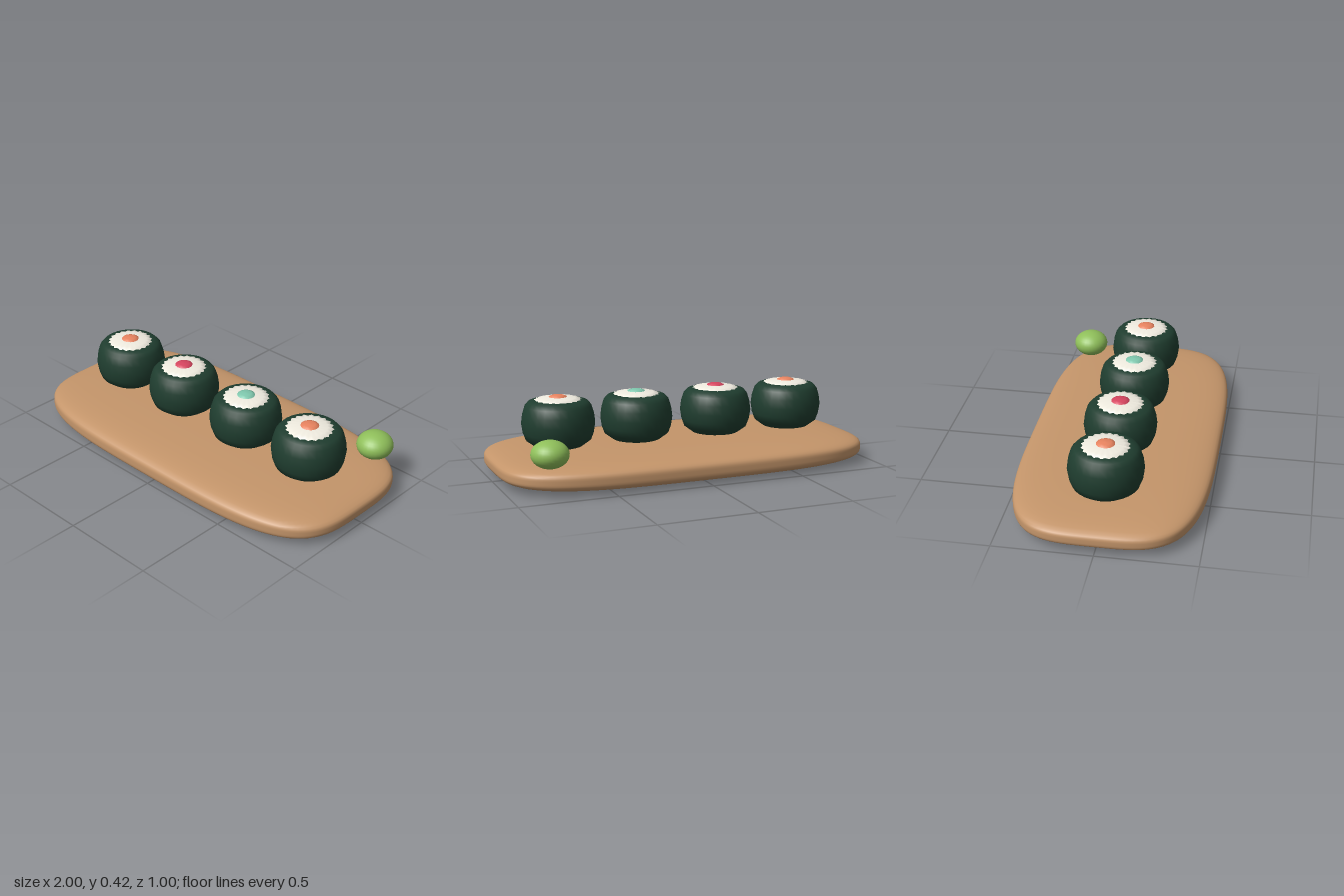
import * as THREE from 'three';

const mat = (color) => new THREE.MeshStandardMaterial({ color });

function addMesh(parent, name, geometry, color) {
  const mesh = new THREE.Mesh(geometry, mat(color));
  mesh.name = name;
  parent.add(mesh);
  return mesh;
}

// Rounded slab: every sphere vertex is pushed out along its ray onto a superellipsoid
function softSlab(rx, ry, rz, n) {
  const g = new THREE.BoxGeometry(2, 2, 2, 32, 16, 32);
  const p = g.attributes.position;
  const normal = g.attributes.normal;
  const v = new THREE.Vector3();
  const f = (c) => Math.sign(c) * Math.abs(c) ** (n - 1);
  for (let i = 0; i < p.count; i++) {
    v.fromBufferAttribute(p, i);
    const k = (Math.abs(v.x) ** n + Math.abs(v.y) ** n + Math.abs(v.z) ** n) ** (-1 / n);
    v.multiplyScalar(k);
    p.setXYZ(i, v.x * rx, v.y * ry, v.z * rz);
    v.set(f(v.x) / rx, f(v.y) / ry, f(v.z) / rz).normalize();
    normal.setXYZ(i, v.x, v.y, v.z);
  }
  return g;
}

const lathe = (points, segments) =>
  new THREE.LatheGeometry(points.map(([r, y]) => new THREE.Vector2(r, y)), segments);

// Rice cap with a scalloped rim
function riceCap() {
  const g = lathe([[0.117, 0.385], [0.115, 0.398], [0.09, 0.405], [0.05, 0.41], [0, 0.411]], 40);
  const p = g.attributes.position;
  for (let i = 0; i < p.count; i++) {
    const x = p.getX(i), z = p.getZ(i);
    const r = Math.hypot(x, z);
    if (r < 0.08) continue;
    const s = 1 + 0.05 * Math.cos(20 * Math.atan2(x, z));
    p.setX(i, x * s);
    p.setZ(i, z * s);
  }
  g.computeVertexNormals();
  return g;
}

function makeRoll(fillingColor) {
  const roll = new THREE.Group();
  roll.name = 'roll';
  // Seaweed wrap, bulging at mid height
  addMesh(roll, 'seaweedWrap', lathe([
    [0, 0.15], [0.08, 0.152], [0.125, 0.16], [0.168, 0.192], [0.182, 0.23], [0.189, 0.278],
    [0.183, 0.325], [0.17, 0.367], [0.152, 0.387], [0.123, 0.396], [0, 0.398],
  ], 28), 0x1f3d2f);
  addMesh(roll, 'rice', riceCap(), 0xf0ece0);
  // Filling, a shallow dome
  addMesh(roll, 'filling', lathe([[0.049, 0.4], [0.046, 0.412], [0.028, 0.419], [0, 0.421]], 14), fillingColor);
  return roll;
}

export function createModel() {
  const model = new THREE.Group();
  model.name = 'sushiBoard';

  // Wooden board
  addMesh(model, 'board', softSlab(1, 0.075, 0.5, 3.7), 0xc4956a).position.y = 0.075;

  // Row of rolls
  const rolls = [[-0.652, 0xe8835f], [-0.23, 0xd6455f], [0.222, 0x7fc8ae], [0.647, 0xe8835f]];
  for (const [x, color] of rolls) {
    const roll = makeRoll(color);
    roll.position.x = x;
    model.add(roll);
  }

  // Ball of green paste at the back corner
  const paste = addMesh(model, 'greenPaste', new THREE.SphereGeometry(0.095, 28, 18), 0x8fbf5a);
  paste.scale.y = 0.74;
  paste.position.set(0.797, 0.202, -0.35);

  return model;
}
